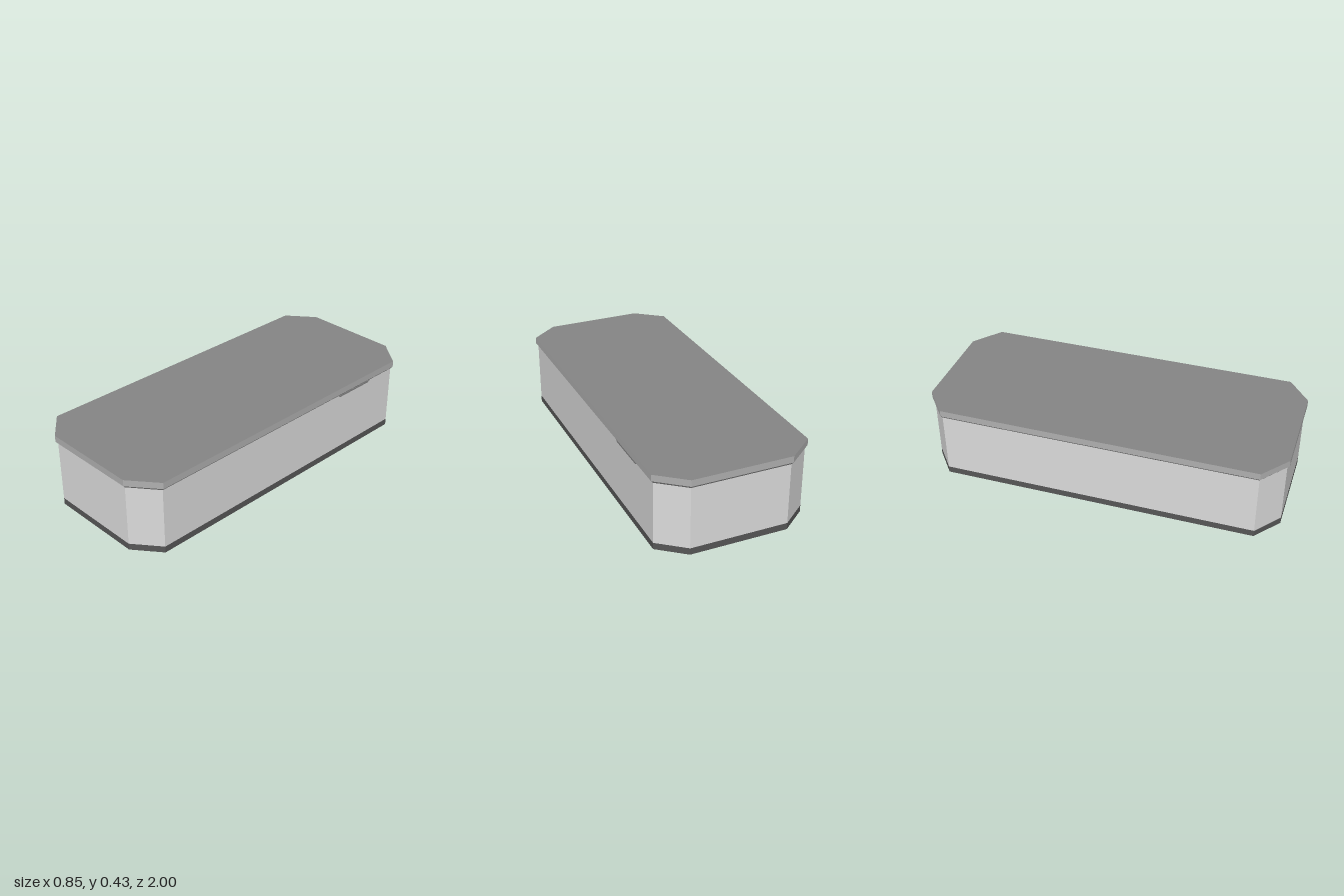
import * as THREE from 'three';

const flat = (name, color) => {
  const m = new THREE.MeshStandardMaterial({ color, side: THREE.DoubleSide, flatShading: true });
  m.name = name;
  return m;
};

// Corner-cut rectangle: half width, half length, and where the cuts begin
const wallOutline = { x: 0.415, z: 0.988, cutX: 0.27, cutZ: 0.873 };
const lidOutline = { x: 0.427, z: 1.0, cutX: 0.275, cutZ: 0.878 };

// Eight corners, counter-clockwise in (x, -z) seen from above
function corners({ x, z, cutX, cutZ }) {
  return [
    [x, -cutZ], [x, cutZ], [cutX, z], [-cutX, z],
    [-x, cutZ], [-x, -cutZ], [-cutX, -z], [cutX, -z],
  ].reverse();
}

// Open band of eight flat panels between two outlines
function band(lower, y0, upper, y1) {
  const a = corners(lower), b = corners(upper), pos = [];
  for (let i = 0; i < 8; i++) {
    const j = (i + 1) % 8;
    const p = [a[i][0], y0, a[i][1]], q = [a[j][0], y0, a[j][1]];
    const r = [b[j][0], y1, b[j][1]], s = [b[i][0], y1, b[i][1]];
    pos.push(...p, ...r, ...q, ...p, ...s, ...r);
  }
  const g = new THREE.BufferGeometry();
  g.setAttribute('position', new THREE.Float32BufferAttribute(pos, 3));
  g.computeVertexNormals();
  return g;
}

export function createModel() {
  const group = new THREE.Group();
  group.name = 'lowBlock';
  const wallGrey = flat('wallGrey', 0xdcdcdc);
  const trimGrey = flat('trimGrey', 0xb0b0b0);
  const topGrey = flat('topGrey', 0x868686);
  const baseGrey = flat('baseGrey', 0x575757);

  const add = (name, geometry, material) => {
    const mesh = new THREE.Mesh(geometry, material);
    mesh.name = name;
    group.add(mesh);
    return mesh;
  };

  // Walls, open underneath
  add('baseStrip', band(wallOutline, 0, wallOutline, 0.037), baseGrey);
  add('walls', band(wallOutline, 0.037, wallOutline, 0.38), wallGrey);

  // Overhanging roof edge
  add('roofFlare', band(wallOutline, 0.38, lidOutline, 0.394), trimGrey);
  add('roofEdge', band(lidOutline, 0.394, lidOutline, 0.43), trimGrey);

  // Flat roof
  const outline = corners(lidOutline).map(([x, z]) => new THREE.Vector2(x, -z));
  const roof = new THREE.ShapeGeometry(new THREE.Shape(outline));
  roof.rotateX(-Math.PI / 2);
  add('roof', roof, topGrey).position.y = 0.43;

  // Small strip under the flare on one long side
  const strip = new THREE.Shape([
    new THREE.Vector2(-0.135, 0.38), new THREE.Vector2(-0.12, 0.37),
    new THREE.Vector2(0.12, 0.37), new THREE.Vector2(0.135, 0.38),
  ]);
  const stripGeometry = new THREE.ExtrudeGeometry(strip, { depth: 0.003, bevelEnabled: false });
  stripGeometry.rotateY(Math.PI / 2);
  add('sideStrip', stripGeometry, topGrey).position.set(0.415, 0, -0.545);

  return group;
}
